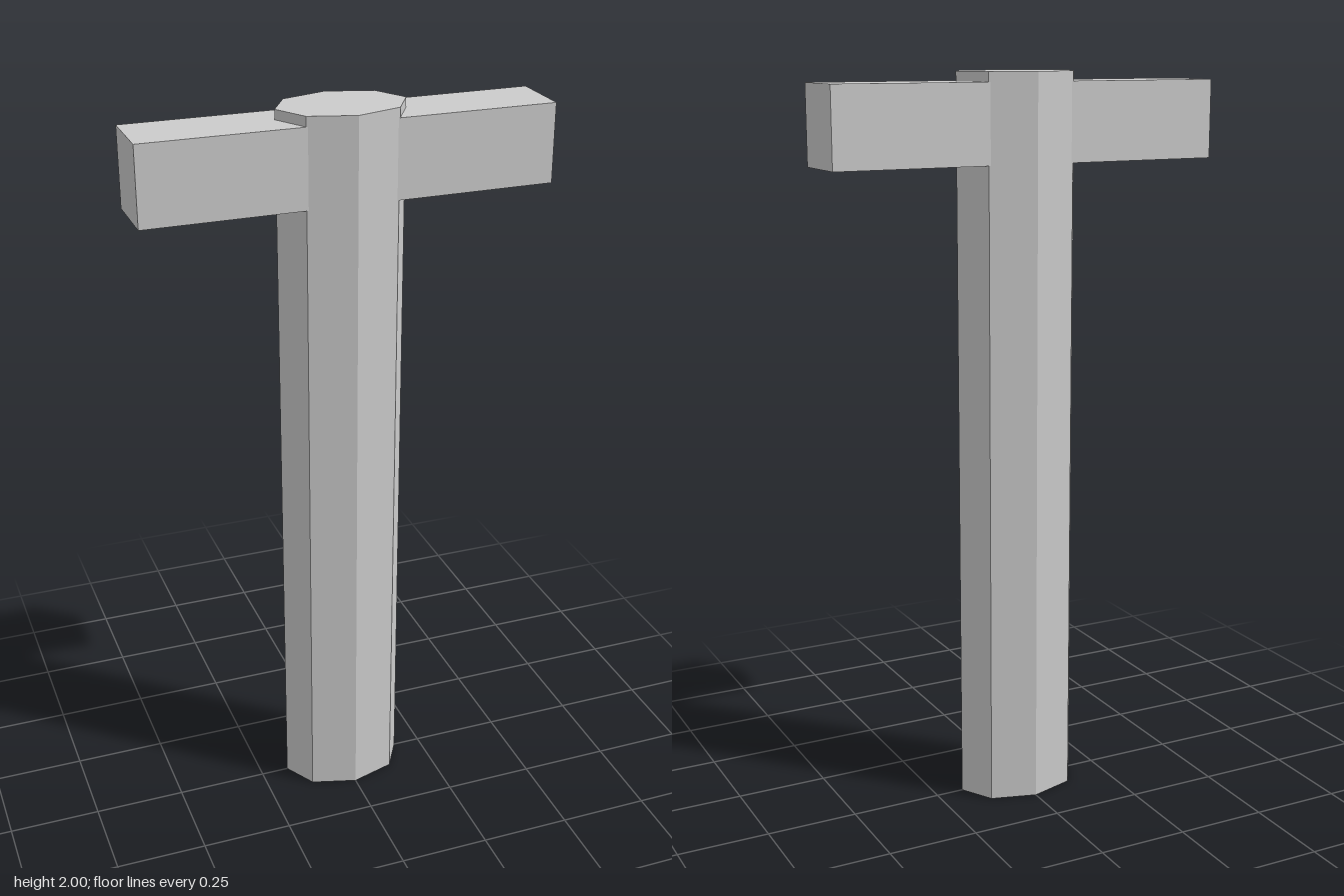
import * as THREE from 'three';

export function createModel() {
  const model = new THREE.Group();
  const material = new THREE.MeshStandardMaterial({ color: 0xcccccc, flatShading: true });

  const add = (name, geometry, y) => {
    const mesh = new THREE.Mesh(geometry, material);
    mesh.name = name;
    mesh.position.y = y;
    model.add(mesh);
  };

  // Eight-sided handle, flattened front to back
  const handle = new THREE.CylinderGeometry(1, 1, 2, 8);
  handle.scale(0.173, 1, 0.124);
  add('handle', handle, 1);

  // Square bar through the top of the handle
  add('crossbar', new THREE.BoxGeometry(1.096, 0.21, 0.178), 1.869);

  return model;
}
